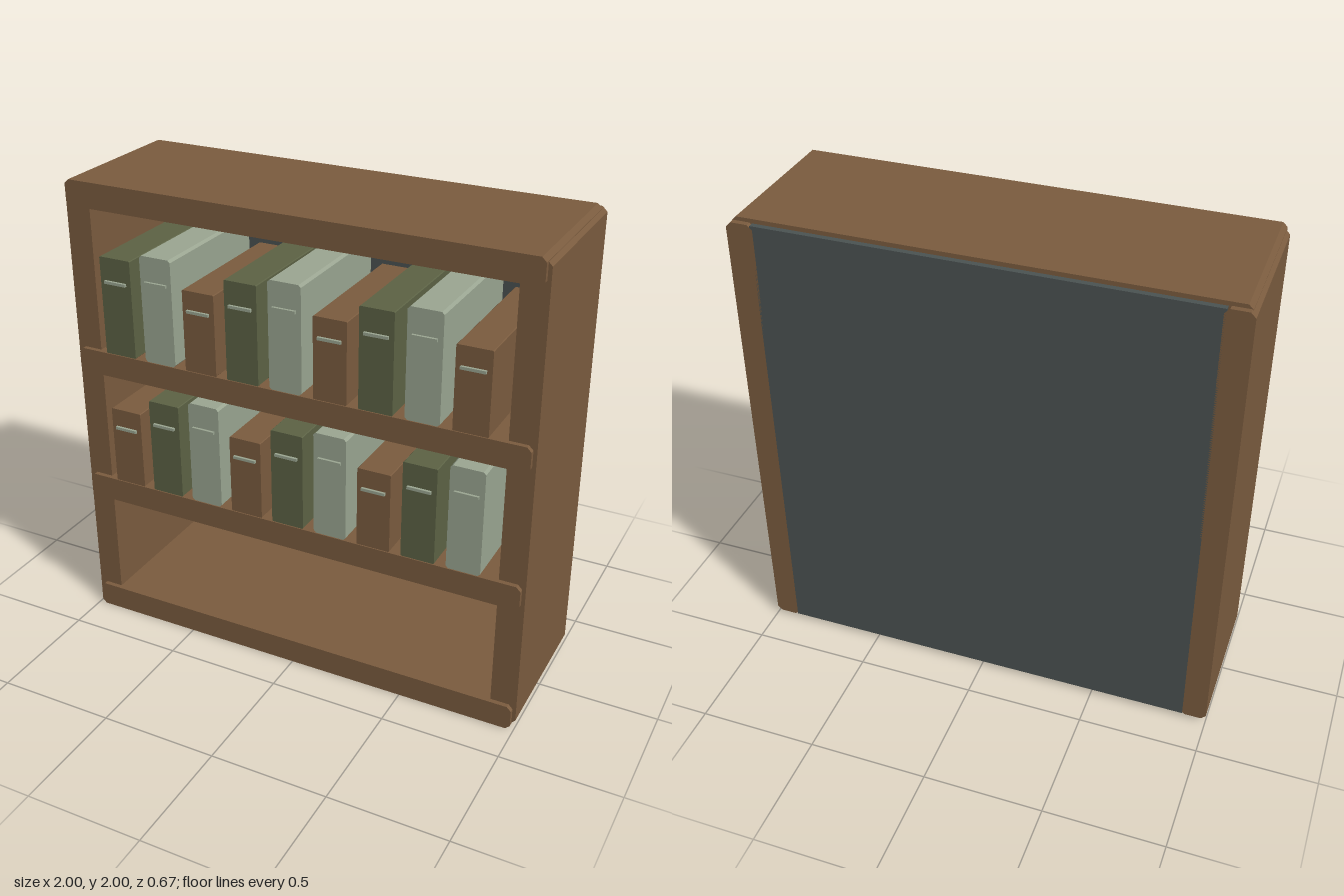
import * as THREE from 'three';

const mat = (color) => new THREE.MeshStandardMaterial({ color });
const WOOD = mat(0x7a5b3e), SLATE = mat(0x4a5251), PALE = mat(0x9aa591), GREEN = mat(0x5c6244);

// Board with chamfered corners in the front plane, extruded from z0 to z1
function board(name, material, x0, x1, y0, y1, z0, z1, c) {
  const s = new THREE.Shape();
  s.moveTo(x0 + c, y0);
  s.lineTo(x1 - c, y0);
  s.lineTo(x1, y0 + c);
  s.lineTo(x1, y1 - c);
  s.lineTo(x1 - c, y1);
  s.lineTo(x0 + c, y1);
  s.lineTo(x0, y1 - c);
  s.lineTo(x0, y0 + c);
  s.closePath();
  const g = new THREE.ExtrudeGeometry(s, { depth: z1 - z0, bevelEnabled: false });
  g.translate(0, 0, z0);
  const m = new THREE.Mesh(g, material);
  m.name = name;
  return m;
}

function box(name, material, w, h, d, x, y, z) {
  const m = new THREE.Mesh(new THREE.BoxGeometry(w, h, d), material);
  m.position.set(x, y, z);
  m.name = name;
  return m;
}

// Book styles: height above the shelf, label height, corner chamfer
const KINDS = [
  { material: GREEN, h: 0.42, label: 0.317, c: 0.003 },
  { material: PALE, h: 0.455, label: 0.345, c: 0.01 },
  { material: WOOD, h: 0.345, label: 0.26, c: 0.003 },
];

function bookRow(name, base, offset) {
  const row = new THREE.Group();
  row.name = name;
  for (let i = 0; i < 9; i++) {
    const k = KINDS[(i + offset) % 3];
    const x = -0.78 + i * 0.191;
    const book = new THREE.Group();
    book.name = 'book';
    book.add(board('bookBody', k.material, x - 0.071, x + 0.071, base, base + k.h, -0.29, 0.325, k.c));
    book.add(box('spineLabel', PALE, 0.1, 0.012, 0.012, x, base + k.label, 0.33));
    row.add(book);
  }
  return row;
}

export function createModel() {
  const model = new THREE.Group();
  model.name = 'bookcase';

  // Side panels
  model.add(board('rightSide', WOOD, -1, -0.89, 0.016, 1.984, -0.335, 0.31, 0.02));
  model.add(board('leftSide', WOOD, 0.89, 1, 0.016, 1.984, -0.335, 0.31, 0.02));

  // Back panel
  model.add(box('backPanel', SLATE, 1.8, 1.964, 0.025, 0, 1, -0.3225));

  // Base, two shelves and top, standing slightly proud of the sides
  [['base', 0], ['lowerShelf', 0.575], ['upperShelf', 1.175], ['top', 1.893]].forEach(([name, y]) => {
    const t = y === 0 || name === 'top' ? 0.107 : 0.105;
    model.add(board(name, WOOD, -0.985, 0.985, y, y + t, -0.312, 0.33, 0.018));
  });

  // Two rows of books; the lowest bay stays empty
  model.add(bookRow('upperBooks', 1.28, 0));
  model.add(bookRow('lowerBooks', 0.68, 2));
  return model;
}
